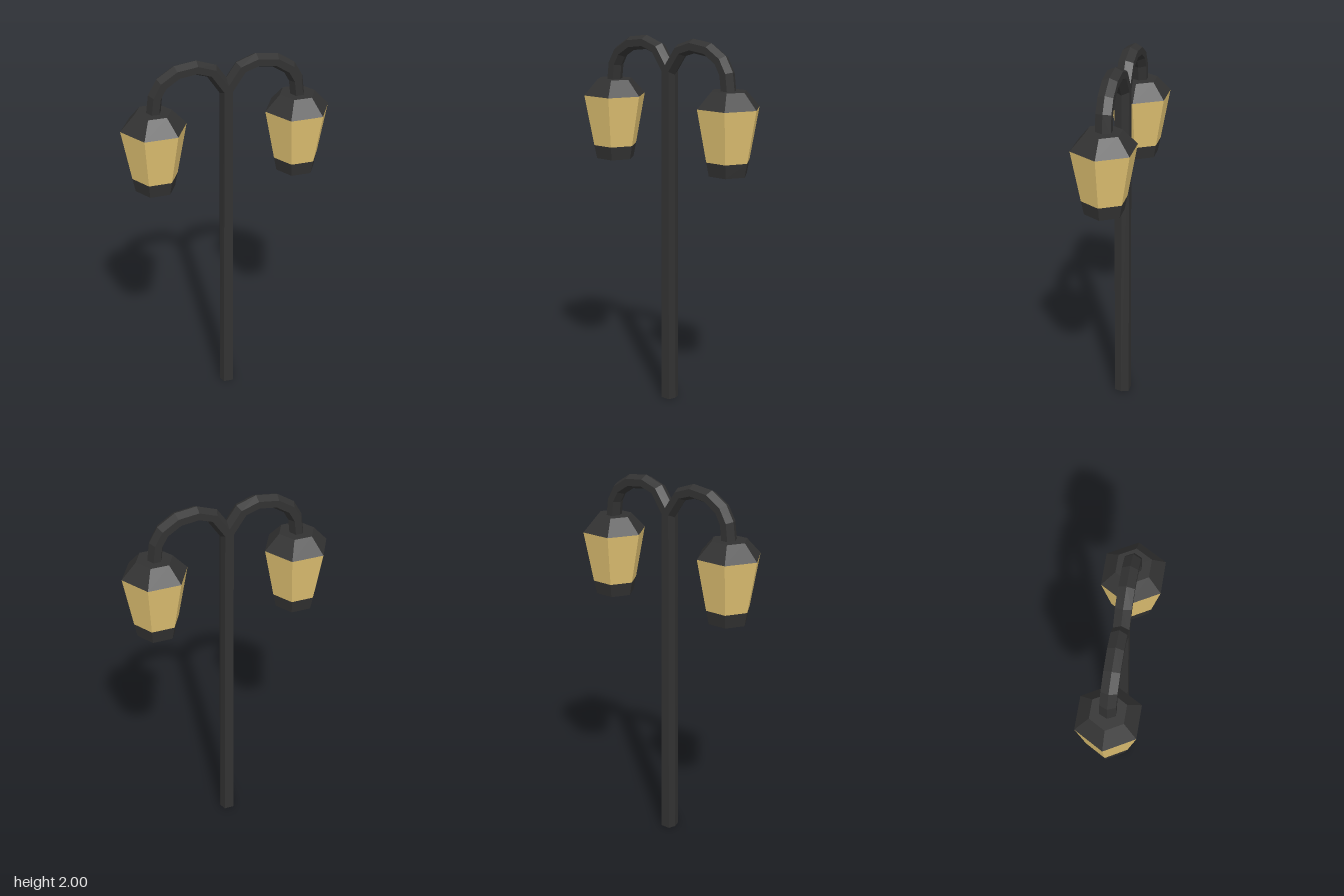
import * as THREE from 'three';

const iron = new THREE.MeshStandardMaterial({ name: 'dark iron', color: 0x323232, flatShading: true });
const glass = new THREE.MeshStandardMaterial({ name: 'amber glass', color: 0xe2c373, flatShading: true });

function addMesh(parent, name, geometry, material) {
  const mesh = new THREE.Mesh(geometry, material);
  mesh.name = name;
  parent.add(mesh);
  return mesh;
}

// Six-sided tapered section between two heights, corners pointing along x
function hexSection(rTop, rBottom, y0, y1) {
  const g = new THREE.CylinderGeometry(rTop, rBottom, y1 - y0, 6);
  return g.rotateY(Math.PI / 6).translate(0, (y0 + y1) / 2, 0);
}

// Hexagonal bar swept along a path in the xy plane, with mitred joints
function sweepHex(path, radius, halfDepth) {
  const positions = [], index = [];
  path.forEach((p, i) => {
    const before = path[Math.max(i - 1, 0)], after = path[Math.min(i + 1, path.length - 1)];
    const t = after.clone().sub(before).normalize();
    for (let j = 0; j < 6; j++) {
      const a = j * Math.PI / 3;
      const u = Math.cos(a) * radius;
      const z = Math.sin(a) / Math.sin(Math.PI / 3) * halfDepth;
      positions.push(p.x - t.y * u, p.y + t.x * u, z);
      if (i < path.length - 1) {
        const a0 = i * 6 + j, b0 = i * 6 + (j + 1) % 6;
        index.push(a0, b0, a0 + 6, b0, b0 + 6, a0 + 6);
      }
    }
  });
  const g = new THREE.BufferGeometry();
  g.setAttribute('position', new THREE.Float32BufferAttribute(positions, 3));
  g.setIndex(index);
  g.computeVertexNormals();
  return g;
}

export function createModel() {
  const model = new THREE.Group();
  model.name = 'doubleStreetLamp';

  // Pole: slim hexagon with widened front and back faces
  const pole = hexSection(0.034, 0.04, 0, 1.83);
  const pos = pole.attributes.position;
  for (let i = 0; i < pos.count; i++) {
    const x = pos.getX(i), z = pos.getZ(i);
    if (Math.abs(z) > 0.01) pos.setXYZ(i, x * 1.35, pos.getY(i), Math.sign(z) * 0.04);
  }
  pole.computeVertexNormals();
  addMesh(model, 'pole', pole, iron);

  const armPoints = [[0, 1.82], [0.077, 1.932], [0.16, 1.96], [0.26, 1.947],
    [0.338, 1.897], [0.374, 1.833], [0.386, 1.735]];

  for (const side of [1, -1]) {
    const label = side > 0 ? 'left' : 'right';

    // Curved arm from the pole top down into the lantern
    const path = armPoints.map(([x, y]) => new THREE.Vector2(x * side, y));
    addMesh(model, label + 'Arm', sweepHex(path, 0.038, 0.04), iron);

    // Lantern: base, glass and roof
    const lantern = new THREE.Group();
    lantern.name = label + 'Lantern';
    lantern.position.x = 0.386 * side;
    addMesh(lantern, 'lanternBase', hexSection(0.121, 0.106, 1.313, 1.387), iron);
    addMesh(lantern, 'lanternGlass', hexSection(0.174, 0.121, 1.387, 1.663), glass);
    addMesh(lantern, 'lanternRoof', hexSection(0.097, 0.174, 1.663, 1.748), iron);
    model.add(lantern);
  }
  return model;
}
